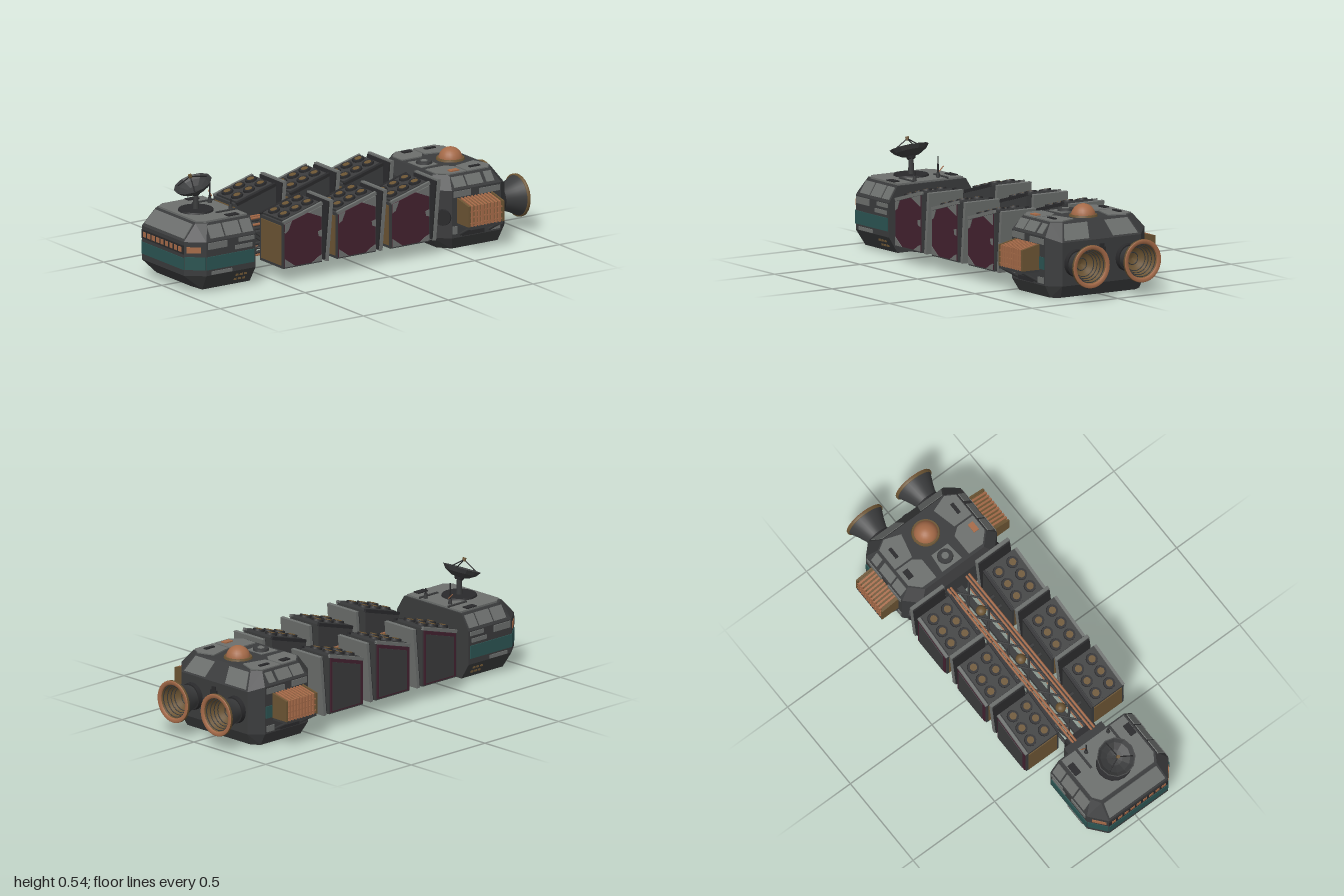
import * as THREE from 'three';
import { ConvexGeometry } from 'three/addons/geometries/ConvexGeometry.js';

const colour = (name, hex) => {
  const m = new THREE.MeshStandardMaterial({ color: hex, side: THREE.DoubleSide });
  m.name = name;
  return m;
};
const V = (x, y, z) => new THREE.Vector3(x, y, z);

export function createModel() {
  const charcoal = colour('charcoal', 0x3a3b3c), dark = colour('darkMetal', 0x29292b);
  const grey = colour('lightGreyPaint', 0x6c6f6d), copper = colour('copper', 0xa56a48);
  const bronze = colour('bronze', 0x6b5433), maroon = colour('maroonPaint', 0x43212f);
  const teal = colour('tealPaint', 0x2b5452);

  const root = new THREE.Group();
  root.name = 'spaceFreighter';
  const section = (name) => {
    const g = new THREE.Group();
    g.name = name;
    root.add(g);
    return g;
  };
  const add = (parent, name, geo, mat, p = [0, 0, 0], r = [0, 0, 0]) => {
    const m = new THREE.Mesh(geo, mat);
    m.name = name;
    m.position.set(...p);
    m.rotation.set(...r);
    parent.add(m);
    return m;
  };
  const box = (parent, name, size, p, mat, r) => add(parent, name, new THREE.BoxGeometry(...size), mat, p, r);
  const cyl = (parent, name, r1, r2, h, p, mat, n = 12, r) =>
    add(parent, name, new THREE.CylinderGeometry(r1, r2, h, n), mat, p, r);
  const rod = (parent, name, a, b, r, mat, n = 6) => {
    const d = b.clone().sub(a);
    const m = cyl(parent, name, r, r, d.length(), a.clone().add(b).multiplyScalar(0.5).toArray(), mat, n);
    m.quaternion.setFromUnitVectors(V(0, 1, 0), d.normalize());
  };
  // Faceted hull from one side's points, mirrored across z
  const hull = (parent, name, pts, mat) => add(parent, name,
    new ConvexGeometry(pts.flatMap(([x, y, z]) => [V(x, y, z), V(x, y, -z)])), mat);
  // Thin painted panel lying on a hull face, facing away from the centre c
  const plate = (parent, name, pts, mat, c, t = 0.005) => {
    const p = pts.map((q) => V(...q));
    const n = p[1].clone().sub(p[0]).cross(p[2].clone().sub(p[0])).normalize();
    if (n.dot(p[0].clone().sub(c)) < 0) n.negate();
    add(parent, name, new ConvexGeometry(p.flatMap((q) =>
      [q.clone().addScaledVector(n, -0.002), q.clone().addScaledVector(n, t)])), mat);
  };

  // Command module
  const head = section('commandModule'), hc = V(-0.8, 0.18, 0);
  hull(head, 'commandHull', [
    [-0.995, 0.09, 0.18], [-0.995, 0.26, 0.18], [-0.91, 0.09, 0.25], [-0.91, 0.26, 0.25],
    [-0.62, 0.09, 0.25], [-0.62, 0.26, 0.25], [-0.92, 0.34, 0.17], [-0.87, 0.34, 0.2], [-0.62, 0.34, 0.2],
    [-0.93, 0.02, 0.15], [-0.9, 0.01, 0.2], [-0.62, 0.01, 0.2]], charcoal);
  plate(head, 'roofPanel', [[-0.91, 0.34, 0.16], [-0.87, 0.34, 0.19], [-0.63, 0.34, 0.19],
    [-0.63, 0.34, -0.19], [-0.87, 0.34, -0.19], [-0.91, 0.34, -0.16]], grey, hc, 0.009);
  plate(head, 'browPanel', [[-0.985, 0.27, 0.17], [-0.985, 0.27, -0.17], [-0.927, 0.333, -0.16], [-0.927, 0.333, 0.16]], grey, hc);
  plate(head, 'noseStripe', [[-0.995, 0.12, 0.18], [-0.995, 0.12, -0.18], [-0.995, 0.18, -0.18], [-0.995, 0.18, 0.18]], teal, hc, 0.003);
  plate(head, 'visor', [[-0.995, 0.198, 0.18], [-0.995, 0.198, -0.18], [-0.995, 0.242, -0.18], [-0.995, 0.242, 0.18]], dark, hc, 0.003);
  for (let i = -4; i <= 4; i++) box(head, 'window', [0.006, 0.026, 0.025], [-0.997, 0.22, i * 0.038], copper);
  for (const s of [1, -1]) {
    plate(head, 'sideStripe', [[-0.91, 0.12, s * 0.25], [-0.63, 0.12, s * 0.25], [-0.63, 0.185, s * 0.25], [-0.91, 0.185, s * 0.25]], teal, hc);
    plate(head, 'cornerStripe', [[-0.993, 0.12, s * 0.182], [-0.912, 0.12, s * 0.248], [-0.912, 0.185, s * 0.248], [-0.993, 0.185, s * 0.182]], teal, hc, 0.003);
    plate(head, 'cornerWindow', [[-0.985, 0.205, s * 0.188], [-0.93, 0.205, s * 0.234], [-0.93, 0.235, s * 0.234], [-0.985, 0.235, s * 0.188]], copper, hc, 0.003);
    // Patchwork of worn side panels
    for (const [x0, x1, y0, y1] of [[-0.9, -0.79, 0.222, 0.255], [-0.74, -0.64, 0.2, 0.22], [-0.88, -0.76, 0.093, 0.11], [-0.72, -0.63, 0.235, 0.255]])
      plate(head, 'sidePanel', [[x0, y0, s * 0.25], [x1, y0, s * 0.25], [x1, y1, s * 0.25], [x0, y1, s * 0.25]], grey, hc);
    for (const [x0, x1] of [[-0.88, -0.8], [-0.79, -0.7], [-0.69, -0.63]])
      plate(head, 'shoulderPanel', [[x0, 0.272, s * 0.2425], [x1, 0.272, s * 0.2425], [x1, 0.33, s * 0.206], [x0, 0.33, s * 0.206]], grey, hc);
    for (const y of [0.04, 0.065]) for (let i = 0; i < 3; i++)
      box(head, 'sideLight', [0.014, 0.01, 0.01], [-0.72 + i * 0.025, y, s * (0.2 + (y - 0.01) * 0.625)], bronze);
    box(head, 'roofHatch', [0.065, 0.008, 0.035], [-0.705, 0.35, s * 0.17], dark);
    box(head, 'roofRib', [0.12, 0.01, 0.012], [-0.69, 0.35, s * 0.1], charcoal);
    box(head, 'bellyRail', [0.24, 0.01, 0.03], [-0.75, 0.008, s * 0.08], dark);
  }
  cyl(head, 'dishTurntable', 0.085, 0.09, 0.012, [-0.8, 0.351, 0], dark, 16);
  cyl(head, 'dishMast', 0.011, 0.016, 0.1, [-0.8, 0.4, 0], charcoal, 8);
  for (const [x, z, h] of [[-0.67, -0.07, 0.11], [-0.65, 0.08, 0.055]]) {
    cyl(head, 'antennaBase', 0.008, 0.011, 0.03, [x, 0.36, z], charcoal, 8);
    cyl(head, 'antenna', 0.003, 0.006, h, [x, 0.345 + h / 2, z], dark, 6);
  }
  rod(head, 'copperProbe', V(-0.66, 0.38, -0.07), V(-0.66, 0.405, -0.095), 0.003, copper);

  // Dish antenna, tipped toward the nose
  const dish = new THREE.Group();
  dish.name = 'dishAntenna';
  dish.position.set(-0.8, 0.438, 0);
  dish.rotation.z = 0.37;
  head.add(dish);
  const bowl = new THREE.LatheGeometry([[0, 0], [0.045, 0.008], [0.08, 0.028], [0.097, 0.05], [0.092, 0.05],
    [0.075, 0.033], [0.04, 0.014], [0, 0.007]].map(([x, y]) => new THREE.Vector2(x, y)), 12).toNonIndexed();
  bowl.computeVertexNormals();
  add(dish, 'dishBowl', bowl, charcoal);
  cyl(dish, 'dishHub', 0.025, 0.02, 0.015, [0, -0.002, 0], dark, 8);
  for (let i = 0; i < 3; i++) {
    const a = i * Math.PI * 2 / 3;
    rod(dish, 'feedStrut', V(0.085 * Math.cos(a), 0.043, 0.085 * Math.sin(a)), V(0, 0.092, 0), 0.003, dark);
  }
  cyl(dish, 'feedHorn', 0.009, 0.009, 0.018, [0, 0.093, 0], bronze, 8);

  // Neck and truss
  const truss = section('trussSpine');
  box(truss, 'neckCollar', [0.08, 0.12, 0.23], [-0.59, 0.16, 0], charcoal);
  box(truss, 'neckBlock', [0.05, 0.09, 0.17], [-0.54, 0.16, 0], dark);
  box(truss, 'coreBeam', [0.98, 0.03, 0.03], [-0.06, 0.17, 0], charcoal);
  for (const s of [1, -1]) {
    for (const y of [0.1, 0.22]) rod(truss, 'trussRail', V(-0.55, y, s * 0.065), V(0.45, y, s * 0.065), 0.008, charcoal);
    for (const [y, z] of [[0.24, 0.065], [0.235, 0.048], [0.085, 0.06]])
      rod(truss, 'copperPipe', V(-0.56, y, s * z), V(0.45, y, s * z), 0.006, copper);
    for (let i = 0; i < 6; i++) {
      const x = -0.52 + i * 0.16;
      rod(truss, 'sideBrace', V(x, i % 2 ? 0.1 : 0.22, s * 0.065), V(x + 0.16, i % 2 ? 0.22 : 0.1, s * 0.065), 0.006, charcoal);
      for (const y of [0.1, 0.22]) rod(truss, 'crossBrace', V(x, y, s * 0.065), V(x + 0.16, y, -s * 0.065), 0.006, charcoal);
      rod(truss, 'trussPost', V(x, 0.09, s * 0.065), V(x, 0.24, s * 0.065), 0.007, charcoal);
    }
  }

  // Cargo pods: three on each side, with sloped launcher decks
  const profile = new THREE.Shape([[-0.115, 0.07], [0.115, 0.07], [0.115, 0.365], [-0.115, 0.3]].map(([x, y]) => new THREE.Vector2(x, y)));
  const slope = Math.atan2(0.065, 0.23);
  for (const cx of [-0.375, -0.058, 0.258]) {
    add(truss, 'sphereTank', new THREE.SphereGeometry(0.026, 14, 10), bronze, [cx, 0.225, 0]);
    for (const s of [1, -1]) {
      const pod = section(s > 0 ? 'frontCargoPod' : 'rearCargoPod');
      pod.position.x = cx;
      const pc = V(0, 0.2, s * 0.2), zo = s * 0.298;
      add(pod, 'podBody', new THREE.ExtrudeGeometry(profile, { depth: 0.198, bevelEnabled: false }), charcoal, [0, 0, s > 0 ? 0.1 : -0.298]);
      plate(pod, 'podSide', [[-0.108, 0.078, zo], [0.108, 0.078, zo], [0.108, 0.355, zo], [-0.108, 0.294, zo]], maroon, pc, 0.006);
      if (s < 0) plate(pod, 'podCover', [[-0.09, 0.085, zo], [0.098, 0.085, zo], [0.098, 0.335, zo], [-0.09, 0.282, zo]], charcoal, pc, 0.009);
      else for (const q of [
        [[0.108, 0.355], [0.108, 0.3], [0.07, 0.318], [0.03, 0.333]], [[-0.108, 0.294], [-0.108, 0.25], [-0.09, 0.26], [-0.07, 0.304]],
        [[-0.108, 0.078], [-0.05, 0.078], [-0.07, 0.092], [-0.108, 0.12]], [[0.108, 0.078], [0.05, 0.078], [0.085, 0.1], [0.108, 0.11]],
        [[0.108, 0.2], [0.108, 0.235], [0.085, 0.23], [0.09, 0.205]]])
        plate(pod, 'wornPatch', q.map(([x, y]) => [x, y, zo]), grey, pc, 0.0085);
      plate(pod, 'podBronzeFace', [[-0.115, 0.085, s * 0.115], [-0.115, 0.085, s * 0.285], [-0.115, 0.285, s * 0.285], [-0.115, 0.285, s * 0.115]], bronze, pc);
      box(pod, 'blastPlate', [0.018, 0.305, 0.2], [0.157, 0.222, s * 0.2], grey, [0, 0, -0.09]);
      box(pod, 'blastPlateBack', [0.008, 0.29, 0.19], [0.144, 0.222, s * 0.2], dark, [0, 0, -0.09]);
      for (const y of [0.12, 0.26]) rod(pod, 'plateArm', V(0.11, y, s * 0.2), V(0.155, y, s * 0.2), 0.008, charcoal);
      for (const x of [-0.03, 0.03]) rod(pod, 'podArm', V(x, 0.2, s * 0.06), V(x, 0.2, s * 0.11), 0.01, charcoal);

      const deck = new THREE.Group();
      deck.name = 'launcherDeck';
      deck.position.set(0, 0.3325, s * 0.2);
      deck.rotation.z = slope;
      pod.add(deck);
      box(deck, 'deckPlate', [0.22, 0.014, 0.17], [0, 0.004, 0], charcoal);
      for (const e of [1, -1]) box(deck, 'deckEdge', [0.238, 0.016, 0.014], [0, 0.002, e * 0.097], e === s ? grey : dark);
      for (const x of [-0.072, 0, 0.072]) for (const z of [-0.042, 0.042]) {
        cyl(deck, 'tubeRim', 0.029, 0.031, 0.014, [x, 0.014, z], dark, 12);
        cyl(deck, 'tubeCap', 0.018, 0.018, 0.003, [x, 0.021, z], bronze, 12);
      }
    }
  }

  // Engine module
  const eng = section('engineModule'), ec = V(0.65, 0.18, 0);
  hull(eng, 'engineHull', [
    ...[0.06, 0.3].flatMap((y) => [[0.44, y, 0.22], [0.51, y, 0.29], [0.8, y, 0.29], [0.86, y > 0.1 ? 0.275 : y, 0.23]]),
    [0.47, 0.365, 0.18], [0.53, 0.365, 0.24], [0.77, 0.365, 0.24], [0.8, 0.365, 0.19],
    [0.48, 0, 0.2], [0.53, 0, 0.26], [0.8, 0, 0.26], [0.83, 0, 0.22]], charcoal);
  box(eng, 'rearSpine', [0.016, 0.13, 0.04], [0.862, 0.17, 0], dark);
  for (const e of [1, -1]) box(eng, 'rearSpineTip', [0.014, 0.03, 0.024], [0.862, 0.17 + e * 0.068, 0], dark);
  plate(eng, 'deckPanel', [[0.49, 0.365, 0.06], [0.59, 0.365, 0.05], [0.59, 0.365, -0.05], [0.49, 0.365, -0.06]], grey, ec, 0.004);
  cyl(eng, 'deckHatch', 0.038, 0.042, 0.016, [0.545, 0.372, 0], charcoal, 12);
  cyl(eng, 'deckHatchCap', 0.018, 0.018, 0.008, [0.545, 0.379, 0], grey, 12);
  cyl(eng, 'domeRing', 0.068, 0.072, 0.012, [0.7, 0.368, 0], bronze, 24);
  add(eng, 'copperDome', new THREE.SphereGeometry(0.06, 20, 8, 0, Math.PI * 2, 0, Math.PI / 2), copper, [0.7, 0.366, 0]);
  for (const s of [1, -1]) {
    plate(eng, 'deckWing', [[0.485, 0.365, s * 0.1], [0.6, 0.365, s * 0.1], [0.63, 0.365, s * 0.14], [0.63, 0.365, s * 0.235], [0.535, 0.365, s * 0.235], [0.485, 0.365, s * 0.185]], grey, ec, 0.006);
    plate(eng, 'deckWing', [[0.64, 0.365, s * 0.13], [0.765, 0.365, s * 0.1], [0.795, 0.365, s * 0.185], [0.765, 0.365, s * 0.235], [0.64, 0.365, s * 0.235]], grey, ec, 0.006);
    box(eng, 'deckVent', [0.05, 0.008, 0.03], [0.58, 0.373, s * 0.2], s > 0 ? copper : dark);
    box(eng, 'deckSlot', [0.06, 0.008, 0.018], [0.71, 0.373, s * 0.19], dark);
    plate(eng, 'rearShoulder', [[0.855, 0.282, s * 0.215], [0.855, 0.282, s * 0.07], [0.806, 0.355, s * 0.05], [0.806, 0.355, s * 0.185]], grey, ec, 0.003);
    for (const [x0, x1] of [[0.53, 0.6], [0.61, 0.7], [0.72, 0.765]])
      plate(eng, 'sideShoulder', [[x0, 0.31, s * 0.2823], [x1, 0.31, s * 0.2823], [x1, 0.355, s * 0.2477], [x0, 0.355, s * 0.2477]], grey, ec, 0.004);
    for (const [x0, x1, y0, y1, m] of [[0.52, 0.62, 0.265, 0.295, grey], [0.67, 0.79, 0.262, 0.29, grey], [0.755, 0.795, 0.14, 0.2, teal],
      [0.515, 0.54, 0.08, 0.12, grey], [0.74, 0.79, 0.07, 0.1, grey], [0.57, 0.7, 0.065, 0.085, dark]])
      plate(eng, 'sidePanel', [[x0, y0, s * 0.29], [x1, y0, s * 0.29], [x1, y1, s * 0.29], [x0, y1, s * 0.29]], m, ec);
    cyl(eng, 'cornerPort', 0.04, 0.045, 0.02, [0.478, 0.165, s * 0.258], dark, 16, [s * Math.PI / 2, 0, s * Math.PI / 4]);

    // Radiator: tapered core wrapped in copper fins, on a bracket
    const rad = new THREE.Group();
    rad.name = 'radiator';
    eng.add(rad);
    add(rad, 'radiatorCore', new ConvexGeometry([0.55, 0.74].flatMap((x) => [
      V(x, 0.14, s * 0.28), V(x, 0.255, s * 0.28), V(x, 0.235, s * 0.38), V(x, 0.14, s * 0.38)])), bronze);
    for (let i = 0; i < 11; i++) {
      const x = 0.545 + i * 0.02;
      add(rad, 'radiatorFin', new ConvexGeometry([x - 0.005, x + 0.005].flatMap((q) => [
        V(q, 0.134, s * 0.29), V(q, 0.26, s * 0.29), V(q, 0.238, s * 0.39), V(q, 0.134, s * 0.39)])), i % 10 ? copper : bronze);
    }
    for (const y of [0.15, 0.18, 0.21]) box(rad, 'finBar', [0.2, 0.006, 0.004], [0.645, y, s * 0.387], copper);
    box(rad, 'bracketShelf', [0.2, 0.014, 0.1], [0.645, 0.128, s * 0.338], charcoal);
    for (const x of [0.56, 0.73]) rod(rad, 'bracketStrut', V(x, 0.125, s * 0.38), V(x, 0.075, s * 0.29), 0.007, charcoal);

    // Rocket nozzle
    const noz = new THREE.Group();
    noz.name = 'nozzle';
    noz.position.set(0.85, 0.17, s * 0.15);
    noz.rotation.z = -Math.PI / 2;
    eng.add(noz);
    const lathe = (name, pts, mat) => add(noz, name, new THREE.LatheGeometry(pts.map(([x, y]) => new THREE.Vector2(x, y)), 32), mat);
    cyl(noz, 'nozzleCollar', 0.066, 0.07, 0.035, [0, 0.015, 0], dark, 20);
    lathe('nozzleBell', [[0.056, 0.02], [0.062, 0.05], [0.08, 0.095], [0.1, 0.135]], charcoal);
    lathe('nozzleBand', [[0.1, 0.133], [0.106, 0.135], [0.106, 0.147]], bronze);
    lathe('nozzleLip', [[0.106, 0.147], [0.103, 0.15], [0.088, 0.15], [0.084, 0.142]], copper);
    lathe('nozzleLining', [[0.085, 0.143], [0.068, 0.095], [0.05, 0.06], [0, 0.05]], bronze);
    for (const [r, y] of [[0.08, 0.132], [0.073, 0.112], [0.066, 0.094], [0.058, 0.078], [0.03, 0.057]])
      add(noz, 'liningRing', new THREE.TorusGeometry(r, 0.0025, 6, 32), charcoal, [0, y, 0], [Math.PI / 2, 0, 0]);
  }
  return root;
}
